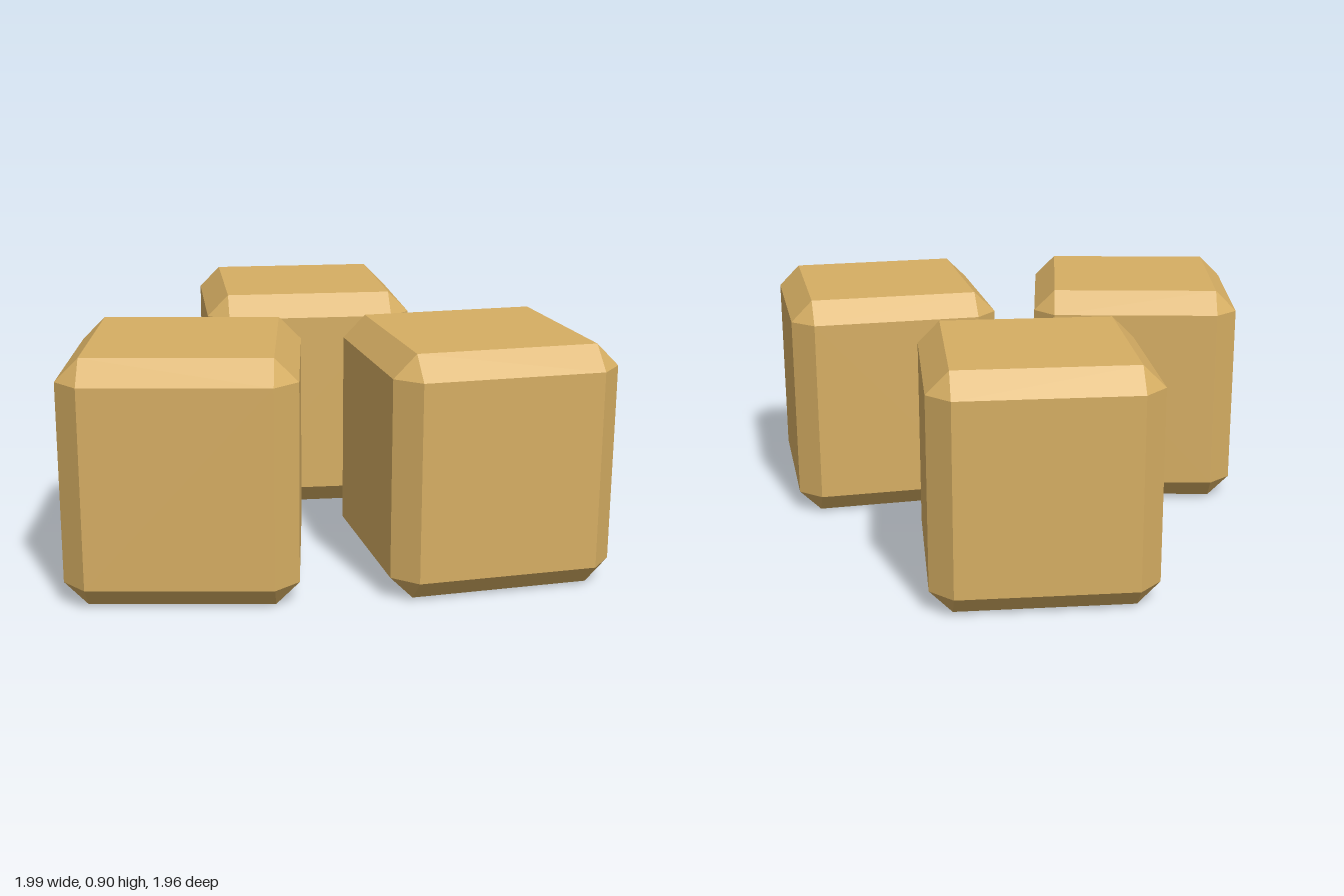
import * as THREE from 'three';
import { ConvexGeometry } from 'three/addons/geometries/ConvexGeometry.js';

const WIDTH = 0.84, HEIGHT = 0.905, CHAMFER = 0.085;

// Box with flat chamfered edges and triangular corners, standing on y = 0
function chamferedBox(width, height, chamfer) {
  const half = [width / 2, height / 2, width / 2];
  const points = [];
  for (const sx of [-1, 1]) for (const sy of [-1, 1]) for (const sz of [-1, 1]) {
    for (let axis = 0; axis < 3; axis++) {
      // each corner is cut into three points, one on each adjoining face
      const [x, y, z] = half.map((h, i) => (i === axis ? h : h - chamfer));
      points.push(new THREE.Vector3(sx * x, sy * y + height / 2, sz * z));
    }
  }
  return new ConvexGeometry(points);
}

export function createModel() {
  const group = new THREE.Group();
  group.name = 'cubeCluster';
  const tan = new THREE.MeshStandardMaterial({ color: 0xd6ae63 });
  tan.name = 'tan';

  const geometry = chamferedBox(WIDTH, HEIGHT, CHAMFER);

  // One square cube at the back, two turned slightly outwards at the front
  const cubes = [
    ['backCube', 0, -0.56, 0],
    ['frontLeftCube', 0.54, 0.518, 0.12],
    ['frontRightCube', -0.54, 0.518, -0.12],
  ];
  for (const [name, x, z, turn] of cubes) {
    const cube = new THREE.Mesh(geometry, tan);
    cube.name = name;
    cube.position.set(x, 0, z);
    cube.rotation.y = turn;
    group.add(cube);
  }
  return group;
}
